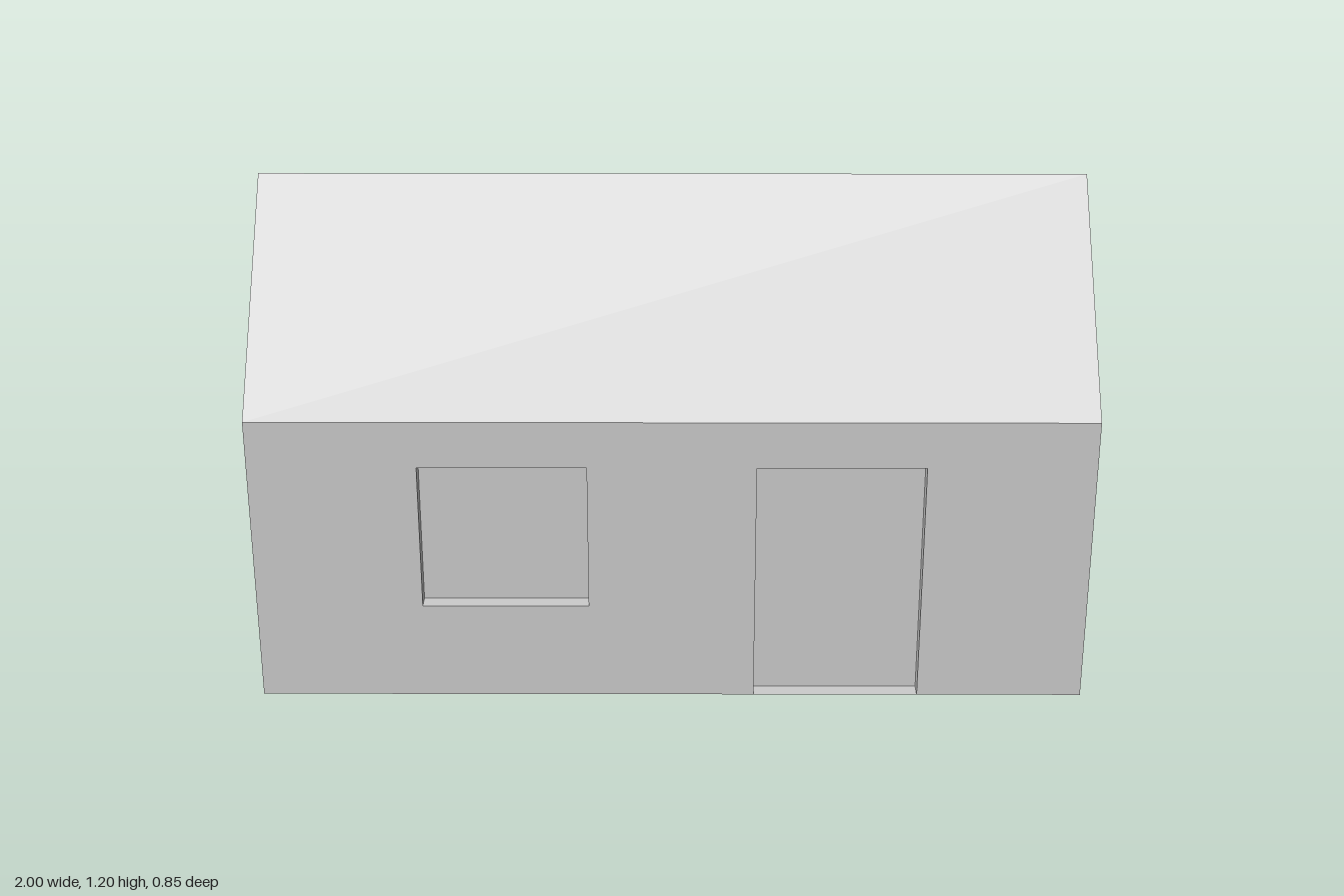
import * as THREE from 'three';

const HALF_W = 1, HALF_D = 0.427, EAVE = 0.73, RIDGE = 1.197;
const SILL = 0.245, HEAD = 0.613, RECESS = 0.04;

const material = new THREE.MeshStandardMaterial({ color: 0xcccccc, flatShading: true });

function addMesh(parent, name, geometry) {
  const mesh = new THREE.Mesh(geometry, material);
  mesh.name = name;
  parent.add(mesh);
  return mesh;
}

const shapeFrom = (points) => new THREE.Shape(points.map(([x, y]) => new THREE.Vector2(x, y)));

// Inward-facing box, open towards +z
function recessGeometry(x0, x1, y0, y1) {
  const g = new THREE.BoxGeometry(x1 - x0, y1 - y0, RECESS);
  g.setIndex(Array.from(g.index.array).slice(0, 30));
  g.clearGroups();
  g.scale(1, 1, -1);
  g.computeVertexNormals();
  return g.translate((x0 + x1) / 2, (y0 + y1) / 2, -RECESS / 2);
}

// Long wall facing +z with recessed openings; those starting at y = 0 are doors
function longWall(name, openings) {
  const wall = new THREE.Group();
  wall.name = name;
  const outline = [[-HALF_W, 0]];
  const holes = [];
  for (const [x0, x1, y0, y1] of openings) {
    if (y0 === 0) outline.push([x0, 0], [x0, y1], [x1, y1], [x1, 0]);
    else holes.push(shapeFrom([[x0, y0], [x0, y1], [x1, y1], [x1, y0]]));
    addMesh(wall, y0 === 0 ? 'doorRecess' : 'windowRecess', recessGeometry(x0, x1, y0, y1));
  }
  outline.push([HALF_W, 0], [HALF_W, EAVE], [-HALF_W, EAVE]);
  const shape = shapeFrom(outline);
  shape.holes.push(...holes);
  addMesh(wall, 'wallFace', new THREE.ShapeGeometry(shape));
  return wall;
}

export function createModel() {
  const house = new THREE.Group();
  house.name = 'house';

  // Long walls: window and door in front, two windows at the back
  const windowLeft = [-0.6, -0.2, SILL, HEAD];
  const windowRight = [0.2, 0.6, SILL, HEAD];
  const front = longWall('frontWall', [windowLeft, [0.2, 0.6, 0, HEAD]]);
  front.position.z = HALF_D;
  const back = longWall('backWall', [windowLeft, windowRight]);
  back.position.z = -HALF_D;
  back.rotation.y = Math.PI;
  house.add(front, back);

  // Gable ends
  const gable = shapeFrom([[-HALF_D, 0], [HALF_D, 0], [HALF_D, EAVE], [0, RIDGE], [-HALF_D, EAVE]]);
  for (const side of [1, -1]) {
    const end = addMesh(house, side > 0 ? 'leftGable' : 'rightGable', new THREE.ShapeGeometry(gable));
    end.position.x = side * HALF_W;
    end.rotation.y = side * Math.PI / 2;
  }

  // Roof slopes
  const rise = RIDGE - EAVE;
  for (const side of [1, -1]) {
    const slope = new THREE.PlaneGeometry(2 * HALF_W, Math.hypot(HALF_D, rise));
    slope.rotateX(-Math.atan2(HALF_D, rise));
    slope.translate(0, (EAVE + RIDGE) / 2, HALF_D / 2);
    if (side < 0) slope.rotateY(Math.PI);
    addMesh(house, side > 0 ? 'frontRoof' : 'backRoof', slope);
  }

  // Underside
  addMesh(house, 'floor', new THREE.PlaneGeometry(2 * HALF_W, 2 * HALF_D).rotateX(Math.PI / 2));

  return house;
}
